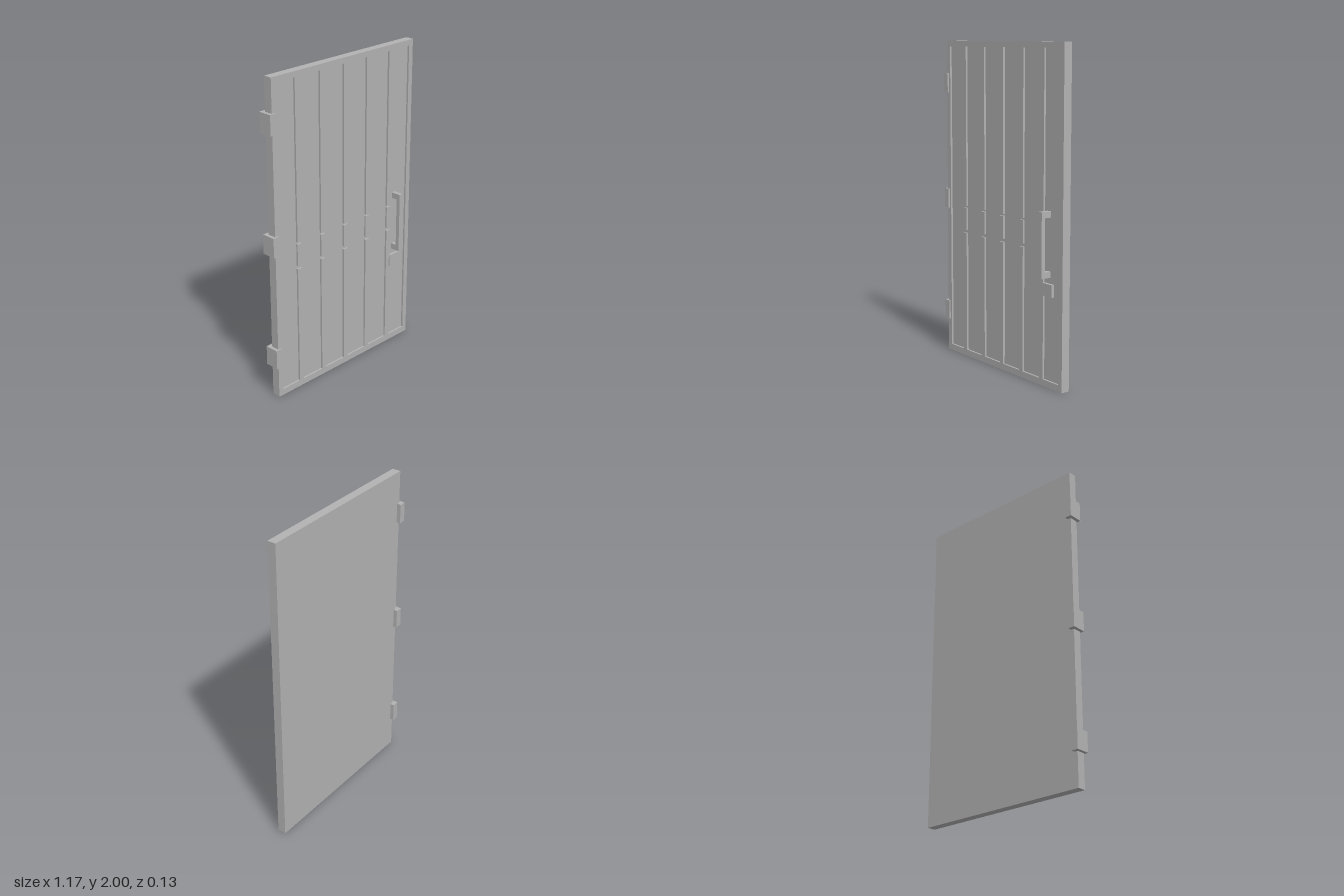
import * as THREE from 'three';

export function createModel() {
  const model = new THREE.Group();
  model.name = 'panelledDoor';
  const grey = new THREE.MeshStandardMaterial({ color: 0xb2b2b2 });
  grey.name = 'plain grey';

  // Box given by its limits on each axis
  function box(name, [x0, x1], [y0, y1], [z0, z1], parent = model) {
    const mesh = new THREE.Mesh(new THREE.BoxGeometry(x1 - x0, y1 - y0, z1 - z0), grey);
    mesh.position.set((x0 + x1) / 2, (y0 + y1) / 2, (z0 + z1) / 2);
    mesh.name = name;
    parent.add(mesh);
  }

  const left = -0.566, right = 0.583, floor = 0, face = 0.012;

  // Solid slab behind the recessed panels
  box('slab', [left, right], [0, 2], [-0.042, floor]);

  // Raised border around the front
  const border = new THREE.Shape();
  border.moveTo(left, 0).lineTo(right, 0).lineTo(right, 2).lineTo(left, 2).closePath();
  const opening = new THREE.Path();
  opening.moveTo(-0.53, 0.04).lineTo(-0.53, 1.965).lineTo(0.55, 1.965).lineTo(0.55, 0.04).closePath();
  border.holes.push(opening);
  const frame = new THREE.Mesh(
    new THREE.ExtrudeGeometry(border, { depth: face - floor, bevelEnabled: false }), grey);
  frame.position.z = floor;
  frame.name = 'frame';
  model.add(frame);

  // Vertical strips, each broken by a short middle block
  const strips = new THREE.Group();
  strips.name = 'strips';
  model.add(strips);
  for (let i = 0; i < 5; i++) {
    const x = -0.376 + i * 0.192;
    const span = [x - 0.017, x + 0.017];
    box('lowerStrip', span, [0.04, 0.8], [floor, face], strips);
    box('middleBlock', span, [0.82, 0.96], [floor, face], strips);
    box('upperStrip', span, [0.972, 1.965], [floor, face], strips);
  }

  // Hinges wrapped around the edge
  for (const y of [0.269, 1.002, 1.736]) {
    box('hinge', [-0.587, -0.544], [y - 0.061, y + 0.061], [-0.067, 0.022]);
  }

  // Pull handle: bar on two arms
  const handle = new THREE.Group();
  handle.name = 'handle';
  model.add(handle);
  box('handleBar', [0.433, 0.46], [0.655, 1.043], [0.041, 0.066], handle);
  box('lowerArm', [0.433, 0.46], [0.655, 0.692], [floor, 0.041], handle);
  box('upperArm', [0.433, 0.46], [1.006, 1.043], [floor, 0.041], handle);

  // Lock plate below the handle
  box('lockPlate', [0.402, 0.493], [0.545, 0.62], [floor, 0.019]);

  return model;
}
